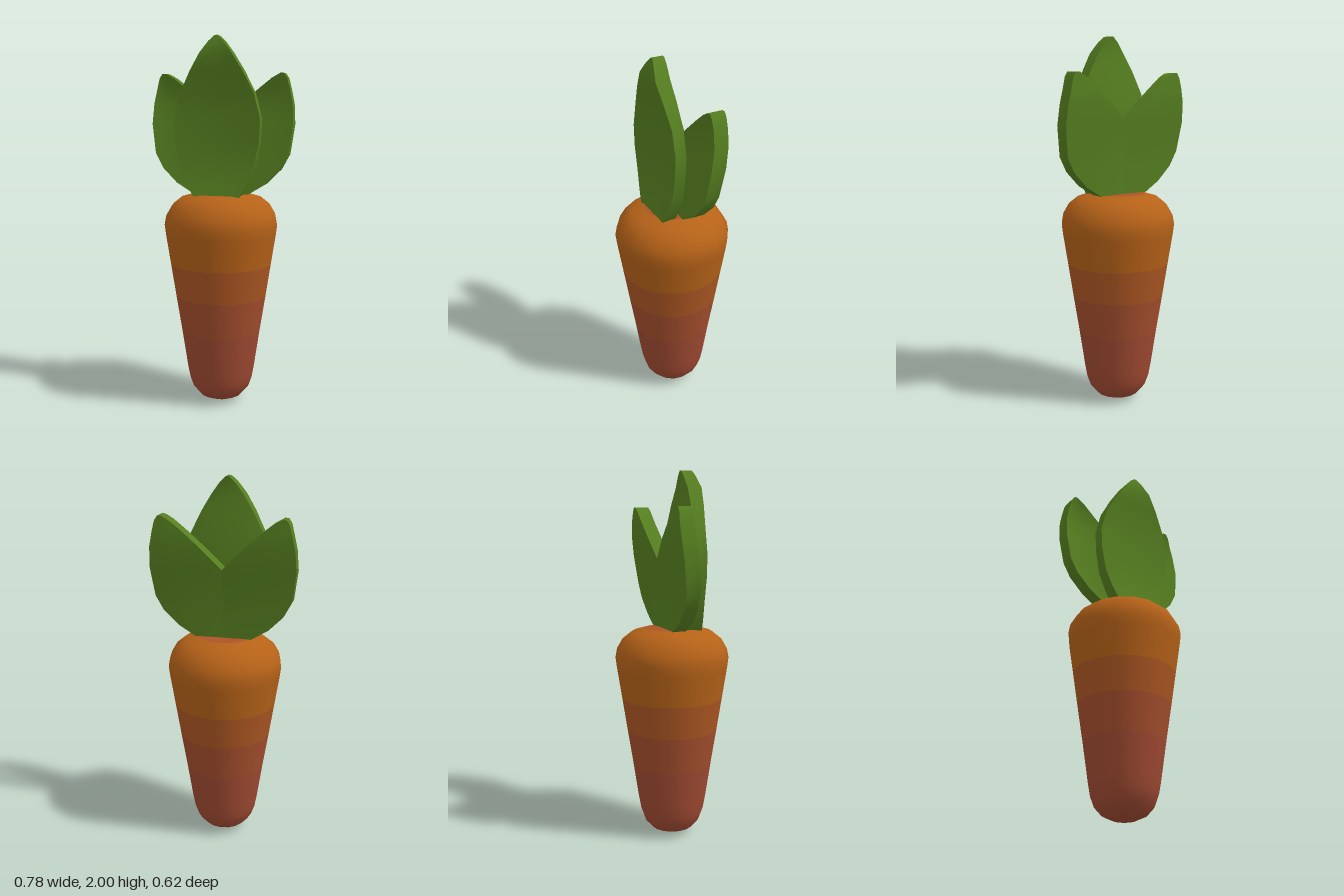
import * as THREE from 'three';
import { toCreasedNormals } from 'three/addons/utils/BufferGeometryUtils.js';

// Leaf lofted from rows: [y, inner x, rib x, outer x, front edge z, front rib z, back edge z, back rib z]
function leafGeometry(rows, mirror) {
  const pos = [];
  const index = [];
  for (const [y, a, b, c, fe, fr, be, br] of rows) {
    const [x0, x1, x2] = mirror ? [-c, -b, -a] : [a, b, c];
    pos.push(x0, y, fe, x1, y, fr, x2, y, fe, x2, y, be, x1, y, br, x0, y, be);
  }
  for (let i = 0; i < rows.length - 1; i++) {
    for (let j = 0; j < 6; j++) {
      const p = i * 6 + j;
      const q = i * 6 + (j + 1) % 6;
      index.push(p, q, q + 6, p, q + 6, p + 6);
    }
  }
  // caps at base and tip
  const t = (rows.length - 1) * 6;
  for (const [a, b, c] of [[0, 1, 4], [0, 4, 5], [1, 2, 3], [1, 3, 4]]) {
    index.push(a, c, b, t + a, t + b, t + c);
  }
  const g = new THREE.BufferGeometry();
  g.setAttribute('position', new THREE.Float32BufferAttribute(pos, 3));
  g.setIndex(index);
  return toCreasedNormals(g, 0.6);
}

export function createModel() {
  const group = new THREE.Group();
  const add = (name, geometry, color) => {
    const mesh = new THREE.Mesh(geometry, new THREE.MeshStandardMaterial({ color }));
    mesh.name = name;
    group.add(mesh);
  };

  // Root: tapered, rounded at both ends, in bands from red tip to orange crown
  const bands = [
    ['rootTip', 0xa04a32, [[0, 0], [0.06, 0.006], [0.115, 0.03], [0.155, 0.075], [0.175, 0.13], [0.188, 0.2], [0.218, 0.4]]],
    ['rootLower', 0xa44e2c, [[0.218, 0.4], [0.25, 0.6]]],
    ['rootMiddle', 0xac5622, [[0.25, 0.6], [0.278, 0.78]]],
    ['rootCrown', 0xb66218, [[0.278, 0.78], [0.304, 0.945], [0.311, 1.0], [0.302, 1.05], [0.27, 1.105], [0.22, 1.145], [0.15, 1.165]]],
    ['crownTop', 0xac5428, [[0.15, 1.165], [0, 1.166]]],
  ];
  for (const [name, color, points] of bands) {
    add(name, new THREE.LatheGeometry(points.map(([x, y]) => new THREE.Vector2(x, y)), 16), color);
  }

  // Front leaf: symmetric, [y, half width, front edge, front rib, back edge, back rib]
  const front = [
    [1.15, 0.12, 0.125, 0.13, 0.05, 0.03],
    [1.22, 0.16, 0.115, 0.11, 0.045, 0.015],
    [1.32, 0.2, 0.105, 0.085, 0.04, 0.0],
    [1.45, 0.227, 0.105, 0.08, 0.045, 0.0],
    [1.57, 0.233, 0.105, 0.08, 0.045, 0.0],
    [1.7, 0.2, 0.107, 0.085, 0.045, 0.02],
    [1.82, 0.14, 0.123, 0.11, 0.05, 0.035],
    [1.91, 0.085, 0.134, 0.13, 0.055, 0.05],
    [1.97, 0.04, 0.12, 0.12, 0.05, 0.05],
    [2.0, 0.008, 0.11, 0.11, 0.047, 0.047],
  ].map(([y, w, ...z]) => [y, -w, 0, w, ...z]);
  add('frontLeaf', leafGeometry(front, false), 0x567f20);

  // Rear leaves: joined along the middle, parting in a V
  const rear = [
    [1.15, 0, 0.05, 0.13, 0.02, 0.015, -0.055, -0.055],
    [1.22, 0, 0.09, 0.245, 0.02, 0.005, -0.055, -0.06],
    [1.3, 0, 0.13, 0.325, 0.015, -0.005, -0.06, -0.065],
    [1.38, 0, 0.17, 0.368, 0.01, -0.015, -0.065, -0.07],
    [1.54, 0, 0.235, 0.39, -0.005, -0.035, -0.085, -0.09],
    [1.65, 0.11, 0.275, 0.383, -0.02, -0.05, -0.098, -0.103],
    [1.73, 0.2, 0.3, 0.366, -0.025, -0.045, -0.102, -0.105],
    [1.785, 0.27, 0.32, 0.352, -0.022, -0.03, -0.1, -0.1],
    [1.81, 0.315, 0.325, 0.335, -0.02, -0.02, -0.1, -0.1],
  ];
  add('leftRearLeaf', leafGeometry(rear, false), 0x567f20);
  add('rightRearLeaf', leafGeometry(rear, true), 0x567f20);

  return group;
}
